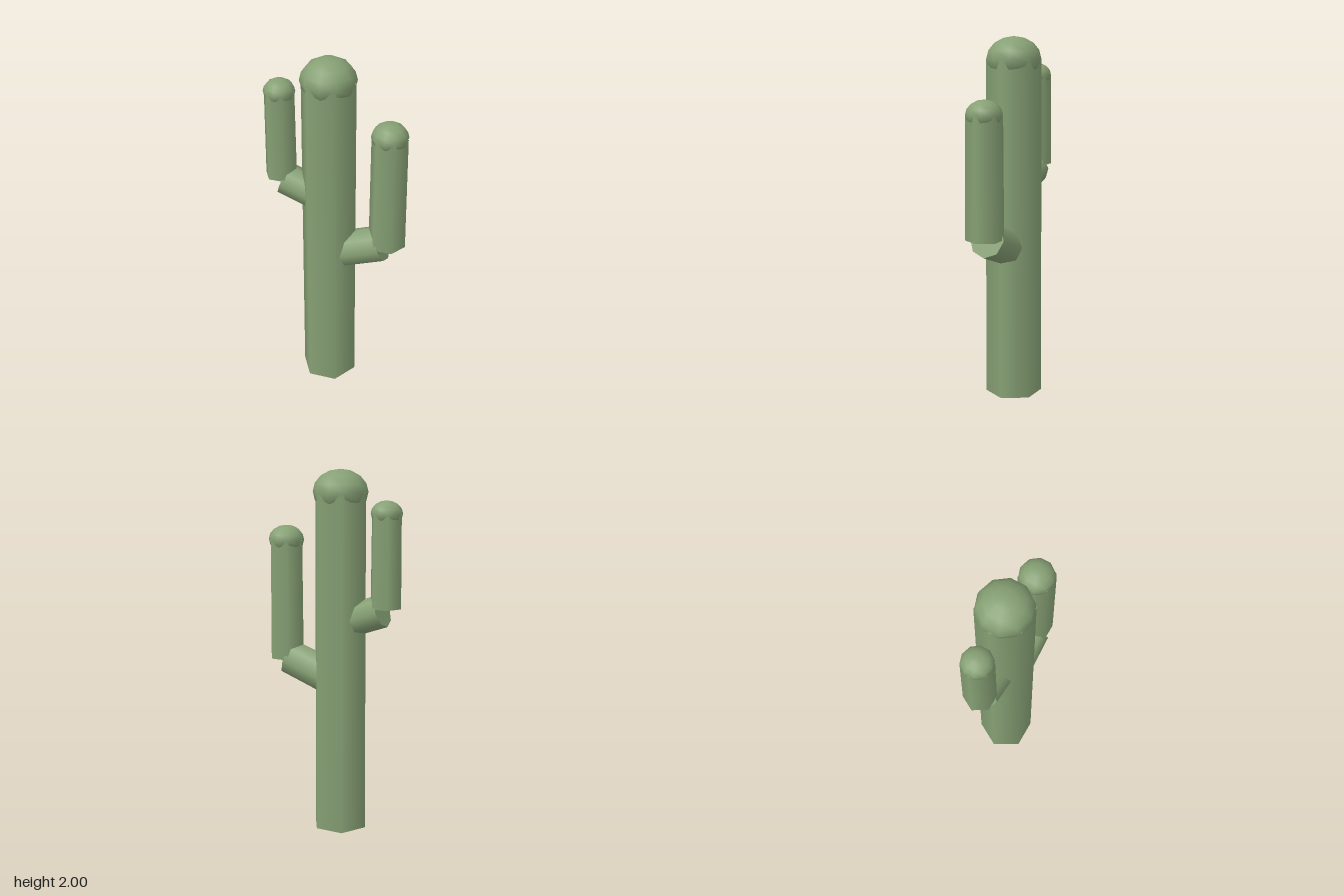
import * as THREE from 'three';

const green = new THREE.MeshStandardMaterial({ color: 0x86a074 });

function addMesh(parent, name, geometry) {
  const mesh = new THREE.Mesh(geometry, green);
  mesh.name = name;
  parent.add(mesh);
  return mesh;
}

// Upright six-sided stem, slightly tapered, capped with a flattened dome
function makeStem(name, x, bottom, top, radius) {
  const stem = new THREE.Group();
  stem.name = name;
  const shaft = addMesh(stem, name + 'Shaft',
    new THREE.CylinderGeometry(radius, radius * 1.045, top - bottom, 6));
  shaft.position.set(x, (bottom + top) / 2, 0);
  shaft.rotation.y = Math.PI / 6; // corners point to the sides
  const dome = addMesh(stem, name + 'Dome', new THREE.SphereGeometry(radius, 10, 8));
  dome.position.set(x, top, 0);
  dome.rotation.y = Math.PI / 2;
  dome.scale.y = 0.8;
  return stem;
}

// Eight-sided elbow rising outwards from the trunk to its end point
function makeElbow(name, endX, endY, radius, length) {
  const side = Math.sign(endX);
  const tilt = THREE.MathUtils.degToRad(70);
  const elbow = new THREE.Mesh(new THREE.CylinderGeometry(radius, radius, length, 8), green);
  elbow.name = name;
  elbow.rotation.z = -side * tilt;
  elbow.position.set(
    endX - side * Math.sin(tilt) * length / 2,
    endY - Math.cos(tilt) * length / 2, 0);
  return elbow;
}

export function createModel() {
  const cactus = new THREE.Group();
  cactus.name = 'cactus';
  cactus.add(
    makeStem('trunk', -0.039, 0, 1.88, 0.15),
    makeElbow('leftElbow', 0.27, 0.942, 0.102, 0.25),
    makeStem('leftArm', 0.294, 0.943, 1.607, 0.099),
    makeElbow('rightElbow', -0.291, 1.256, 0.09, 0.2),
    makeStem('rightArm', -0.31, 1.275, 1.777, 0.085),
  );
  return cactus;
}
